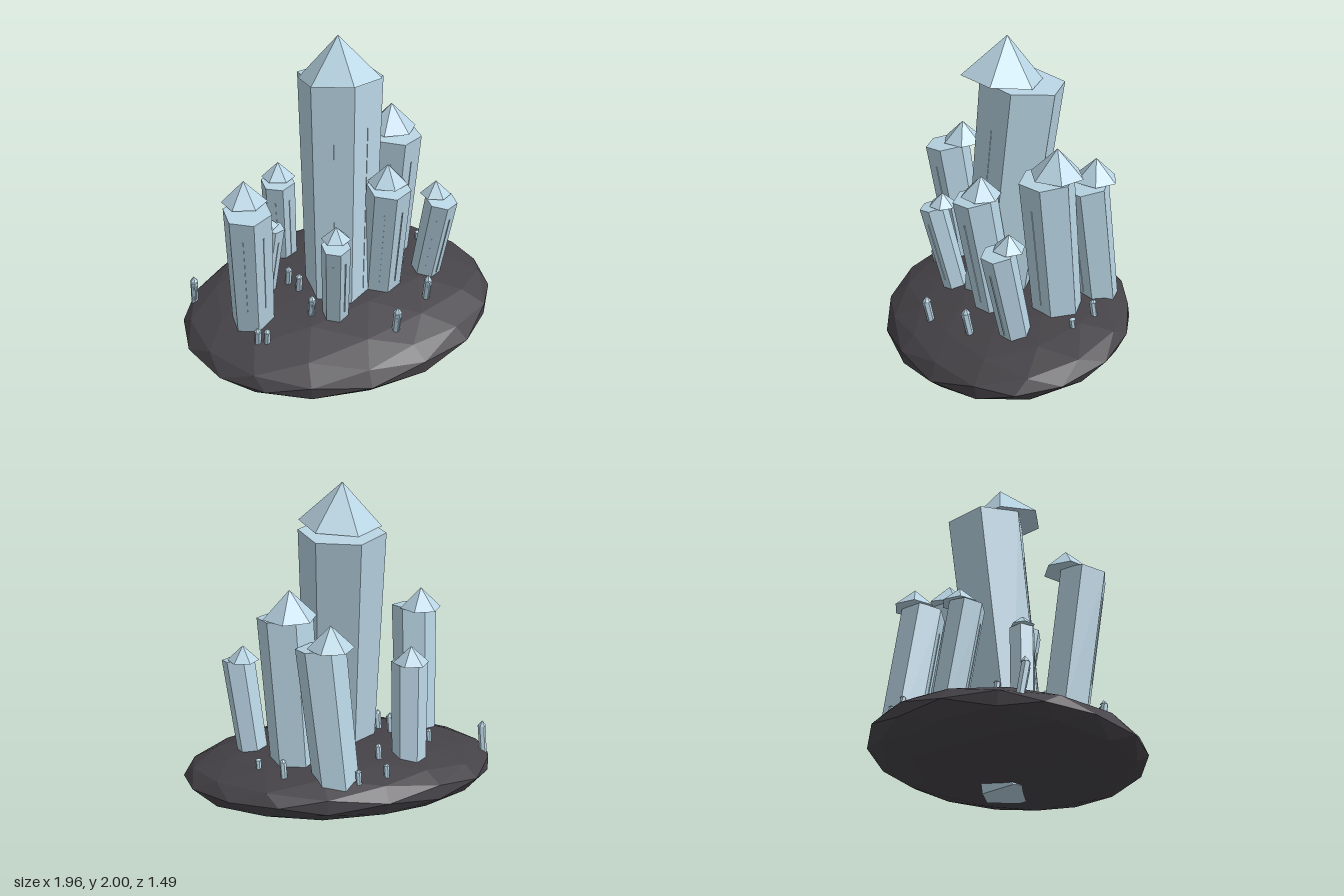
import * as THREE from 'three';

const crystalBlue = new THREE.MeshStandardMaterial({ color: 0xb8d4e3 });
const darkRock = new THREE.MeshStandardMaterial({ color: 0x464348 });
crystalBlue.name = 'crystalBlue';
darkRock.name = 'darkRock';

const UP = new THREE.Vector3(0, 1, 0);

// Split every face so that the facets stay sharp
function facet(geometry) {
  const g = geometry.index ? geometry.toNonIndexed() : geometry;
  g.computeVertexNormals();
  return g;
}

function mesh(name, geometry, material) {
  const m = new THREE.Mesh(facet(geometry), material);
  m.name = name;
  return m;
}

// Place a part of unit axis between two points
function span(object, from, to) {
  const a = new THREE.Vector3(...from), b = new THREE.Vector3(...to);
  object.position.copy(a).add(b).multiplyScalar(0.5);
  object.quaternion.setFromUnitVectors(UP, b.sub(a).normalize());
  return object;
}

function distance(a, b) {
  return new THREE.Vector3(...a).distanceTo(new THREE.Vector3(...b));
}

// Leaning six-sided column with a separate pyramid tip and thin front ridges
function makeCrystal(name, { base, top, r, taper = 0.92, capBase, apex, capR, turn = 0, ridges = true }) {
  const group = new THREE.Group();
  group.name = name;
  const h = distance(base, top);
  const shaft = new THREE.Group();
  shaft.name = 'shaft';
  shaft.add(mesh('column', new THREE.CylinderGeometry(r, r * taper, h, 6), crystalBlue));

  if (ridges) {
    const ridgeH = h * 0.62;
    for (const side of [-1, 1]) {
      const pivot = new THREE.Group();
      pivot.name = 'ridgePivot';
      pivot.rotation.y = side * Math.PI / 6;
      const ridge = mesh('ridge', new THREE.BoxGeometry(0.007, ridgeH, 0.009), crystalBlue);
      ridge.position.set(0, h * 0.04, r * 0.866 * (0.5 + taper / 2));
      ridge.rotation.x = Math.atan((r * (1 - taper) * 0.866) / h);
      pivot.add(ridge);
      shaft.add(pivot);
    }
  }
  group.add(span(shaft, base, top));

  const tip = mesh('tip', new THREE.ConeGeometry(capR, distance(capBase, apex), 6).rotateY(turn), crystalBlue);
  group.add(span(tip, capBase, apex));
  return group;
}

// Height of the tilted rock's upper surface
const rockCentre = 0.245;
function rockTop(x, z) {
  const d = Math.max(0, 1 - (x / 0.98) ** 2 - (z / 0.75) ** 2);
  return rockCentre + 0.067 * x - 0.13 * z + 0.2 * Math.sqrt(d);
}

export function createModel() {
  const model = new THREE.Group();
  model.name = 'crystalCluster';

  // Flattened, tilted rock
  const rockShape = new THREE.IcosahedronGeometry(1, 2);
  rockShape.rotateY(0.3);
  rockShape.scale(0.985, 0.205, 0.755);
  rockShape.rotateX(0.13);
  rockShape.rotateZ(0.067);
  rockShape.translate(0, rockCentre, 0);
  model.add(mesh('rock', rockShape, darkRock));

  // Tall central crystal, running right through the rock
  model.add(makeCrystal('mainCrystal', {
    base: [-0.02, 0.025, 0.08], top: [0.04, 1.74, -0.09], r: 0.25, taper: 0.82,
    capBase: [0, 1.76, 0.02], apex: [0, 2, -0.01], capR: 0.24,
  }));

  // Medium crystals: top centre, radius, lean in x and z, tip centre, apex height, tip radius, turn
  const medium = [
    [-0.615, 1.13, 0.23, 0.14, -0.04, 0.14, -0.605, 0.13, 1.27, 0.13, 0.25],
    [-0.40, 0.84, -0.05, 0.075, 0.13, 0.06, -0.43, -0.06, 0.91, 0.07, 0.3],
    [-0.28, 0.99, -0.33, 0.107, -0.06, 0.14, -0.265, -0.37, 1.10, 0.105, 0.2],
    [-0.16, 0.92, 0.41, 0.085, -0.07, 0.22, -0.14, 0.355, 1.01, 0.085, 0.1],
    [0.225, 1.14, 0.235, 0.13, -0.01, 0.16, 0.23, 0.2, 1.27, 0.118, 0],
    [0.41, 1.30, -0.13, 0.16, 0.02, 0.10, 0.405, -0.19, 1.47, 0.155, 0.4],
    [0.585, 0.97, 0.19, 0.098, 0.06, 0.20, 0.575, 0.125, 1.07, 0.093, 0.1],
    [0.31, 1.19, -0.39, 0.14, 0.05, 0.15, 0.28, -0.46, 1.33, 0.13, 0.2],
  ];
  medium.forEach(([x, y, z, r, leanX, leanZ, cx, cz, tipY, capR, turn]) => {
    const drop = y - 0.3;
    model.add(makeCrystal('mediumCrystal', {
      base: [x - leanX * drop, 0.3, z - leanZ * drop], top: [x, y, z], r,
      capBase: [cx, y + 0.012, cz], apex: [cx, tipY, cz], capR, turn,
    }));
  });

  // Tiny crystals scattered over the rock: x, z, height
  const tiny = [
    [-0.86, -0.24, 0.18], [-0.48, -0.23, 0.08], [-0.04, -0.41, 0.09], [0, -0.59, 0.07],
    [0.18, -0.6, 0.07], [0.54, -0.38, 0.1], [0.63, -0.23, 0.06], [-0.31, -0.04, 0.13],
    [-0.27, 0.05, 0.13], [-0.48, 0.05, 0.09], [-0.26, 0.27, 0.15], [0.35, 0.02, 0.09],
    [0.41, 0.02, 0.1], [0.45, 0.35, 0.18], [0.18, 0.53, 0.18], [-0.61, 0.33, 0.12],
    [-0.56, 0.35, 0.11],
  ];
  tiny.forEach(([x, z, height], i) => {
    const ground = rockTop(x, z);
    const r = 0.012 + height * 0.07;
    const y = ground + height * 0.8;
    model.add(makeCrystal('tinyCrystal', {
      base: [x, ground - 0.03, z - height * 0.18], top: [x, y, z], r,
      capBase: [x, y + 0.002, z - 0.005], apex: [x, ground + height, z - 0.005],
      capR: r * 1.05, turn: i * 0.3, ridges: height > 0.14,
    }));
  });

  return model;
}
